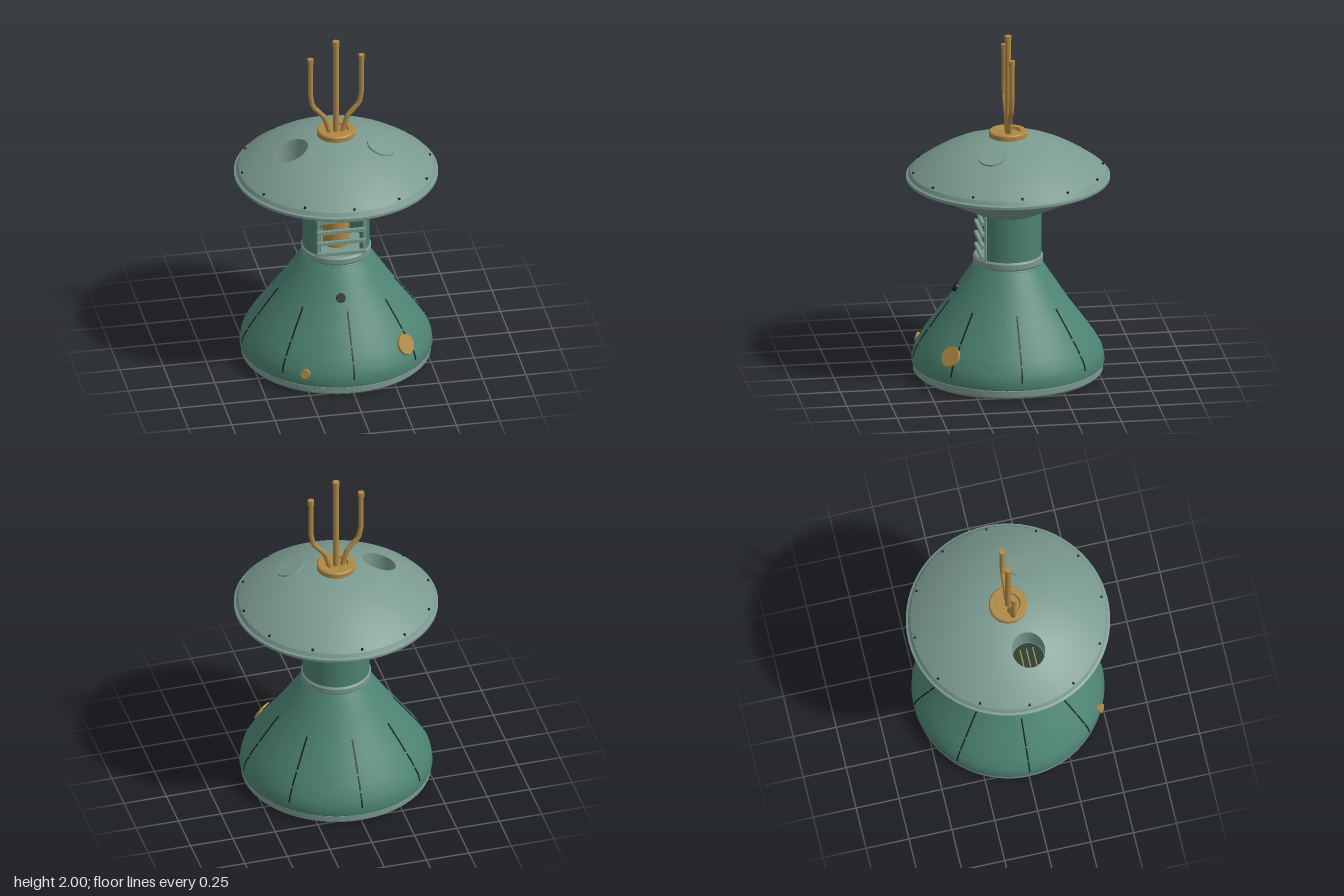
import * as THREE from 'three';
import { toCreasedNormals } from 'three/addons/utils/BufferGeometryUtils.js';
import { ParametricGeometry } from 'three/addons/geometries/ParametricGeometry.js';

const mat = (name, color, side = THREE.FrontSide) => {
  const m = new THREE.MeshStandardMaterial({ color, side });
  m.name = name;
  return m;
};

export function createModel() {
  const root = new THREE.Group();
  root.name = 'beaconTower';
  const body = mat('teal body', 0x4c8272, THREE.DoubleSide);
  const pale = mat('pale green', 0x7a998f, THREE.DoubleSide);
  const gold = mat('brass', 0xae8844);
  const dark = mat('dark green', 0x1f3a30);
  const black = mat('seam black', 0x17211f);

  const add = (name, geo, material, x = 0, y = 0, z = 0) => {
    const m = new THREE.Mesh(geo, material);
    m.name = name;
    m.position.set(x, y, z);
    root.add(m);
    return m;
  };
  const lathe = (name, pts, material, crease = 0.5) => add(name, toCreasedNormals(
    new THREE.LatheGeometry(pts.map(p => new THREE.Vector2(...p)), 72), crease), material);
  const UP = new THREE.Vector3(0, 1, 0);
  const aim = (mesh, dir) => mesh.quaternion.setFromUnitVectors(UP, dir.clone().normalize());

  // Base ring and flared skirt
  const skirt = [[0.545, 0.055], [0.548, 0.065], [0.542, 0.11], [0.532, 0.145], [0.49, 0.217],
    [0.41, 0.33], [0.325, 0.445], [0.26, 0.545], [0.205, 0.63], [0.19, 0.65]];
  lathe('baseRing', [[0, 0], [0.525, 0], [0.54, 0.015], [0.54, 0.05], [0.52, 0.057]], pale);
  lathe('skirt', [[0.5, 0.05], ...skirt], body);

  // Radius of the skirt at a height, and the outward normal there
  const skirtAt = (y, angle) => {
    const i = Math.max(1, skirt.findIndex(p => p[1] >= y));
    const [r0, y0] = skirt[i - 1], [r1, y1] = skirt[i];
    const r = r0 + (r1 - r0) * (y - y0) / (y1 - y0);
    const s = Math.sin(angle), c = Math.cos(angle);
    return {
      point: new THREE.Vector3(r * s, y, r * c),
      normal: new THREE.Vector3((y1 - y0) * s, r0 - r1, (y1 - y0) * c).normalize(),
    };
  };

  // Eight dashed panel seams following the skirt
  const dashes = [[0.1, 0.145], [0.145, 0.18], [0.19, 0.217], [0.217, 0.262], [0.272, 0.33], [0.33, 0.43]];
  for (let k = 0; k < 8; k++) {
    const angle = k * Math.PI / 4;
    for (const [y0, y1] of dashes) {
      const a = skirtAt(y0, angle).point, b = skirtAt(y1, angle).point;
      const mid = a.clone().add(b).multiplyScalar(0.5);
      const seam = add('skirtSeam', new THREE.BoxGeometry(0.008, a.distanceTo(b), 0.008), black, ...mid);
      seam.rotation.set(Math.atan2(Math.hypot(b.x, b.z) - Math.hypot(a.x, a.z), y1 - y0), angle, 0, 'YXZ');
    }
  }

  // Round fittings on the skirt
  const fitting = (name, angle, y, r, h, material) => {
    const { point, normal } = skirtAt(y, angle);
    aim(add(name, new THREE.CylinderGeometry(r * 0.95, r, h, 32), material, ...point), normal);
  };
  fitting('skirtDisc', 0.713, 0.203, 0.062, 0.022, gold);
  fitting('skirtKnob', -0.515, 0.125, 0.028, 0.04, gold);
  fitting('skirtPort', -0.1, 0.495, 0.028, 0.03, black);

  // Collar and neck with an open front
  lathe('lowerCollar', [[0.185, 0.628], [0.197, 0.632], [0.197, 0.642], [0.185, 0.648]], body);
  lathe('collar', [[0.17, 0.648], [0.19, 0.65], [0.199, 0.66], [0.199, 0.69], [0.19, 0.7], [0.05, 0.7]], pale);
  const gap = 0.75;
  add('neckWall', new THREE.CylinderGeometry(0.19, 0.19, 0.3, 64, 1, true, gap, 2 * Math.PI - 2 * gap),
    body, 0, 0.83, 0);
  add('neckLiner', new THREE.CylinderGeometry(0.165, 0.165, 0.3, 64, 1, true, gap, 2 * Math.PI - 2 * gap),
    body, 0, 0.83, 0);
  add('core', new THREE.CylinderGeometry(0.076, 0.076, 0.3, 40), gold, 0, 0.83, 0);

  // Grille in front of the core
  for (const s of [-1, 1]) {
    const edge = add('neckEdge', new THREE.BoxGeometry(0.004, 0.3, 0.026), body, s * 0.121, 0.83, 0.13);
    edge.rotation.y = s * gap;
    add('grillePost', new THREE.CylinderGeometry(0.008, 0.008, 0.28, 12), pale, s * 0.133, 0.825, 0.148);
  }
  for (let i = 0; i < 4; i++)
    add('grilleBar', new THREE.BoxGeometry(0.28, 0.02, 0.02), pale, 0, 0.715 + i * 0.07, 0.163);

  // Saucer: cone underside and rim
  lathe('saucerUnderside', [[0.17, 0.955], [0.19, 0.96], [0.55, 1.145], [0.575, 1.148], [0.58, 1.154],
    [0.58, 1.168], [0.567, 1.174], [0.555, 1.195]], pale);

  // Saucer top, swept outward from its round opening to the rim
  const dome = (x, z) => 1.41 - 0.7 * (x * x + z * z);
  const hx = -0.27, hz = 0.057, hr = 0.095, rim = 0.555;
  const onTop = (u, v, target) => {
    const a = v * 2 * Math.PI, dx = Math.cos(a), dz = -Math.sin(a);
    const b = hx * dx + hz * dz;
    const reach = -b + Math.sqrt(b * b - hx * hx - hz * hz + rim * rim);
    const d = hr + (reach - hr) * u;
    const x = hx + dx * d, z = hz + dz * d;
    target.set(x, dome(x, z), z);
  };
  add('saucerTop', new ParametricGeometry(onTop, 28, 96), pale);

  // Recessed vent: wall, floor and bars
  const floorY = 1.21;
  const onWall = (u, v, target) => {
    const a = v * 2 * Math.PI;
    const x = hx + hr * Math.cos(a), z = hz - hr * Math.sin(a);
    target.set(x, floorY + (dome(x, z) - floorY) * u, z);
  };
  add('ventWall', new ParametricGeometry(onWall, 2, 48), pale);
  add('ventFloor', new THREE.CylinderGeometry(0.09, 0.09, 0.008, 48), dark, hx, floorY + 0.005, hz);
  add('ventLedge', new THREE.CylinderGeometry(0.098, 0.098, 0.006, 48), pale, hx, floorY, hz);
  for (const dz of [-0.037, 0, 0.037])
    add('ventBar', new THREE.BoxGeometry(0.11, 0.008, 0.007), gold, hx, floorY + 0.012, hz + dz);

  // Flush hatch on the other side of the saucer
  const px = 0.235, pz = 0.125;
  aim(add('hatch', new THREE.CylinderGeometry(0.08, 0.082, 0.012, 48), pale, px, dome(px, pz) - 0.001, pz),
    new THREE.Vector3(1.4 * px, 1, 1.4 * pz));

  // Rivets around the rim
  for (let k = 0; k < 12; k++) {
    const a = k * Math.PI / 6, r = 0.543;
    const rivet = add('rimRivet', new THREE.BoxGeometry(0.012, 0.01, 0.012), black,
      r * Math.sin(a), 1.205, r * Math.cos(a));
    rivet.rotation.y = a;
  }

  // Brass cap with a recessed centre
  lathe('antennaCap', [[0.1, 1.39], [0.109, 1.4], [0.109, 1.428], [0.102, 1.435], [0.07, 1.435],
    [0.064, 1.42], [0, 1.42]], gold);

  // Three antennas
  add('centreAntenna', new THREE.CylinderGeometry(0.017, 0.017, 0.57, 20), gold, 0, 1.705, 0);
  add('centreTip', new THREE.CylinderGeometry(0.02, 0.02, 0.028, 20), gold, 0, 1.986, 0);
  for (const s of [-1, 1]) {
    const path = new THREE.CurvePath();
    const pts = [[0.035, 1.41], [0.062, 1.5], [0.072, 1.52], [0.125, 1.58], [0.137, 1.602], [0.147, 1.66],
      [0.148, 1.69], [0.148, 1.88]].map(([x, y]) => new THREE.Vector3(s * x, y, 0));
    for (let i = 1; i < pts.length; i++) path.add(new THREE.LineCurve3(pts[i - 1], pts[i]));
    add('sideAntenna', new THREE.TubeGeometry(path, 60, 0.0145, 16), gold);
    add('sideTip', new THREE.CylinderGeometry(0.018, 0.018, 0.032, 20), gold, s * 0.148, 1.884, 0);
  }
  return root;
}
